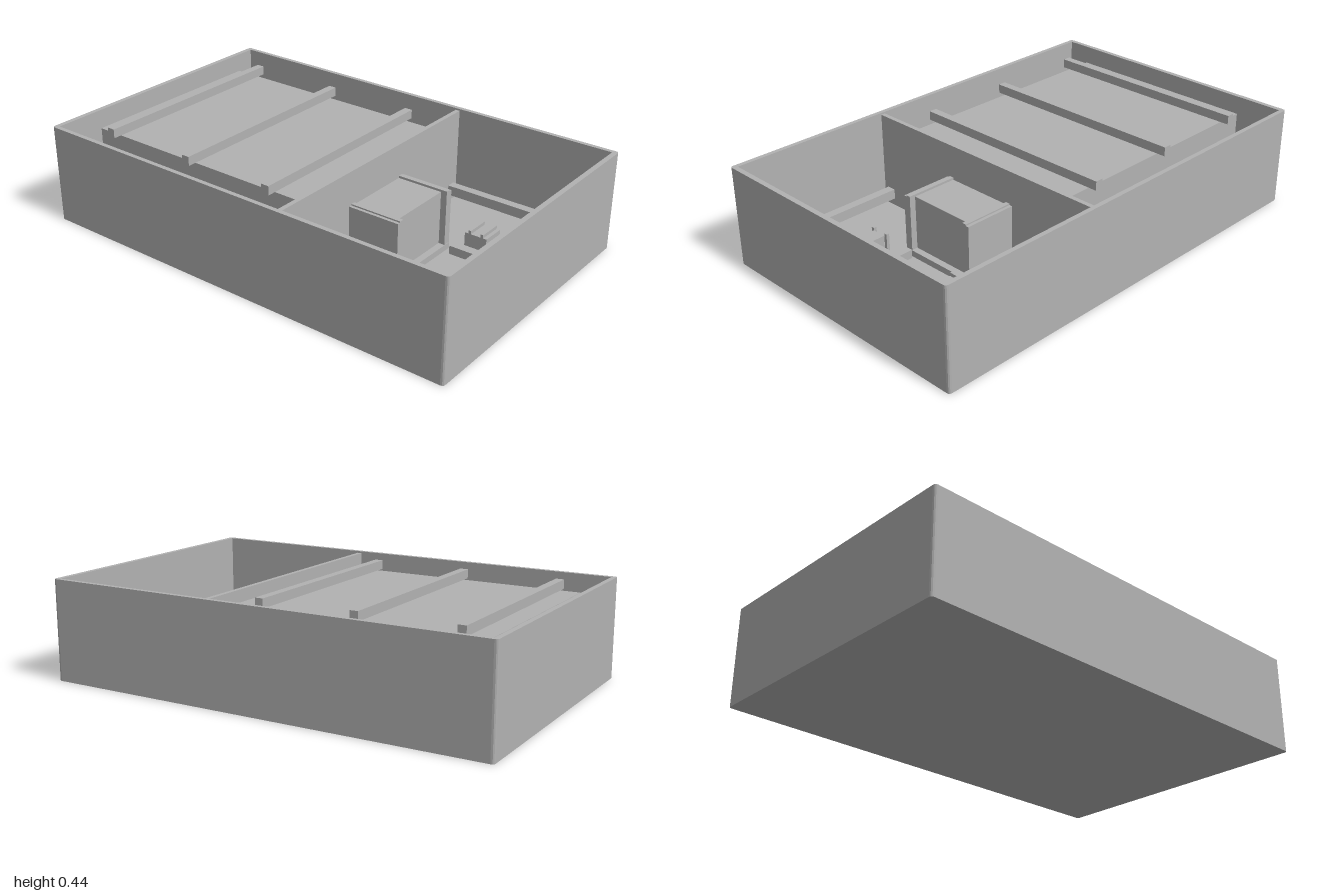
import * as THREE from 'three';

const grey = new THREE.MeshStandardMaterial({ color: 0xb2b2b2 });
grey.name = 'plain grey';

export function createModel() {
  const model = new THREE.Group();
  model.name = 'openTray';

  // Box given by its extents on each axis
  const box = (name, x0, x1, y0, y1, z0, z1, parent = model) => {
    const mesh = new THREE.Mesh(new THREE.BoxGeometry(x1 - x0, y1 - y0, z1 - z0), grey);
    mesh.position.set((x0 + x1) / 2, (y0 + y1) / 2, (z0 + z1) / 2);
    mesh.name = name;
    parent.add(mesh);
    return mesh;
  };
  const group = (name) => {
    const g = new THREE.Group();
    g.name = name;
    model.add(g);
    return g;
  };

  // Outer walls: rounded rectangle with a rectangular opening
  const W = 0.627, D = 1, R = 0.014;
  const outline = new THREE.Shape();
  outline.moveTo(-W + R, -D);
  outline.lineTo(W - R, -D);
  outline.quadraticCurveTo(W, -D, W, -D + R);
  outline.lineTo(W, D - R);
  outline.quadraticCurveTo(W, D, W - R, D);
  outline.lineTo(-W + R, D);
  outline.quadraticCurveTo(-W, D, -W, D - R);
  outline.lineTo(-W, -D + R);
  outline.quadraticCurveTo(-W, -D, -W + R, -D);
  const opening = new THREE.Path();
  opening.moveTo(-0.607, -0.978);
  opening.lineTo(-0.607, 0.978);
  opening.lineTo(0.607, 0.978);
  opening.lineTo(0.607, -0.978);
  opening.closePath();
  outline.holes.push(opening);
  const wallGeometry = new THREE.ExtrudeGeometry(outline, { depth: 0.44, bevelEnabled: false, curveSegments: 3 });
  wallGeometry.rotateX(-Math.PI / 2);
  const walls = new THREE.Mesh(wallGeometry, grey);
  walls.name = 'outerWalls';
  model.add(walls);

  // Floor and cross partition
  box('floor', -0.615, 0.615, 0, 0.012, -0.988, 0.988);
  box('partition', -0.607, 0.607, 0.012, 0.432, 0.23, 0.25);

  // Long low rails beside the side walls
  for (const s of [-1, 1]) {
    box('wallRail', s * 0.565 - 0.02, s * 0.565 + 0.02, 0.045, 0.09, -0.955, 0.955);
  }

  // Large block with side battens, back battens and straps over the top
  const block = group('largeBlock');
  box('blockBody', -0.442, 0.442, 0.012, 0.395, -0.905, 0.187, block);
  for (const s of [-1, 1]) {
    box('sideSkid', s * 0.44 - 0.014, s * 0.44 + 0.014, 0.012, 0.06, -0.932, 0.214, block);
    box('backBatten', s * 0.153 - 0.012, s * 0.153 + 0.012, 0.012, 0.06, -0.932, -0.905, block);
  }
  for (const z of [-0.8, -0.36, 0.065]) {
    box('topBar', -0.48, 0.48, 0.395, 0.435, z - 0.018, z + 0.018, block);
  }

  // Small block against the partition, framed by side panels
  const cabinet = group('cabinet');
  box('cabinetBody', -0.155, 0.155, 0.012, 0.278, 0.187, 0.46, cabinet);
  box('cabinetBase', -0.187, 0.187, 0.012, 0.04, 0.187, 0.49, cabinet);
  for (const s of [-1, 1]) {
    box('sidePanel', s * 0.164 - 0.01, s * 0.164 + 0.01, 0.012, 0.288, 0.187, 0.488, cabinet);
    box('sideRail', s * 0.181 - 0.007, s * 0.181 + 0.007, 0.012, 0.282, 0.187, 0.488, cabinet);
  }

  // Square pedestal with a four-post top
  const pedestal = group('postPedestal');
  box('pedestalPlate', -0.36, -0.143, 0.012, 0.05, 0.5, 0.72, pedestal);
  box('pedestalCore', -0.283, -0.217, 0.05, 0.12, 0.58, 0.645, pedestal);
  for (const x of [-0.29, -0.21]) {
    for (const z of [0.572, 0.655]) {
      box('pedestalPost', x - 0.007, x + 0.007, 0.05, 0.13, z - 0.007, z + 0.007, pedestal);
    }
  }

  // Square pedestal with a slatted top
  const slatted = group('slattedPedestal');
  box('slattedPlate', 0.147, 0.337, 0.012, 0.05, 0.517, 0.707, slatted);
  box('slattedCore', 0.19, 0.297, 0.05, 0.11, 0.562, 0.665, slatted);
  for (const z of [0.585, 0.643]) {
    box('slat', 0.19, 0.297, 0.11, 0.125, z - 0.006, z + 0.006, slatted);
  }

  // Short square stub near the front wall
  box('stub', -0.276, -0.222, 0.012, 0.16, 0.82, 0.872);

  return model;
}
